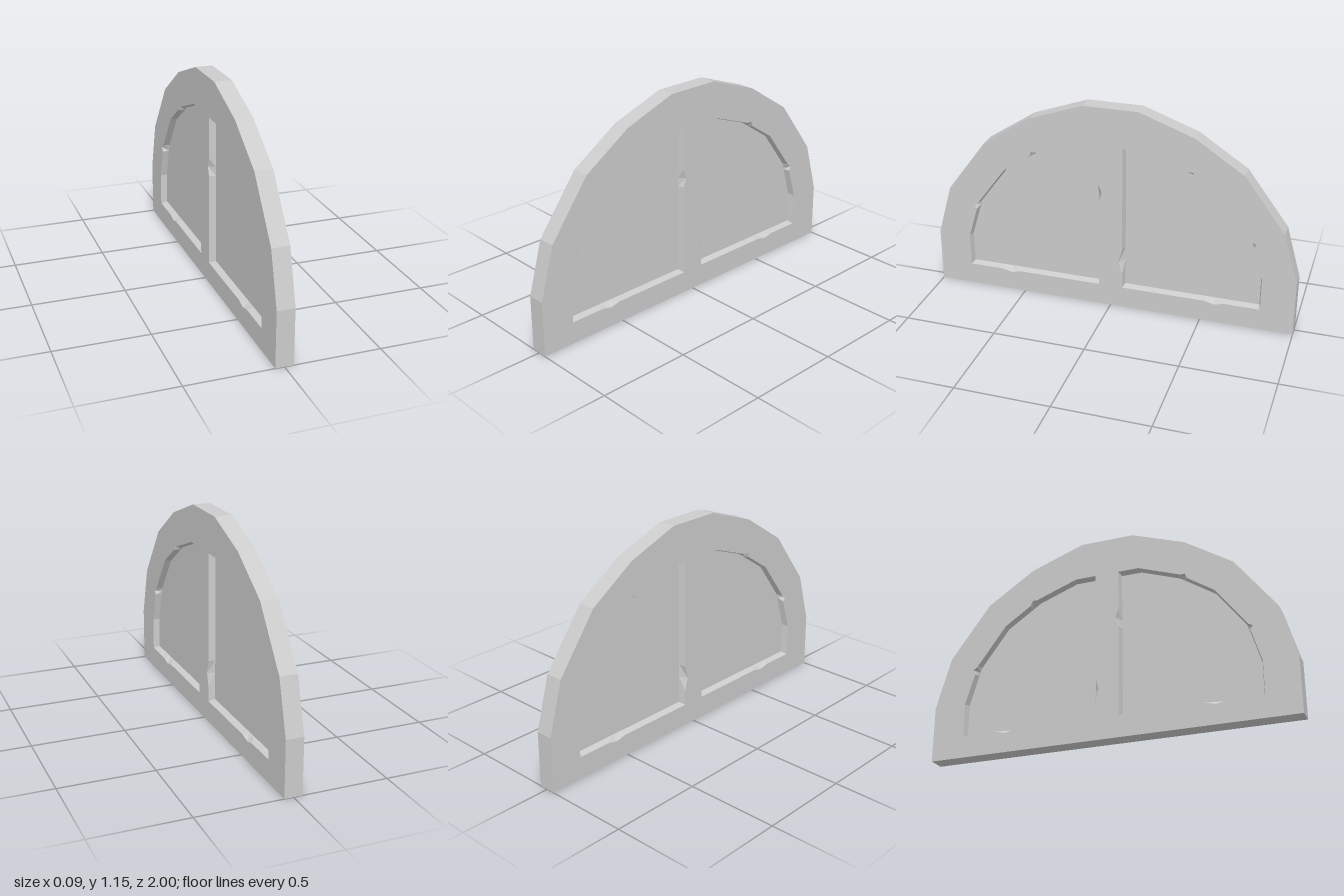
import * as THREE from 'three';
import { mergeGeometries } from 'three/addons/utils/BufferGeometryUtils.js';

const HALF = 0.047;   // half thickness of the frame
const PANE = 0.012;   // half thickness of the panes
const material = new THREE.MeshStandardMaterial({ color: 0xcccccc, flatShading: true });

// Outlines are drawn as (u, v) = (-z, y), anticlockwise as seen from +x.
const vec = ([u, v]) => new THREE.Vector2(u, v);
const flip = (pts) => pts.map((p) => new THREE.Vector2(-p.x, p.y)).reverse();

const rightArch = [[1, 0], [1, 0.3], [0.92, 0.58], [0.7, 0.875], [0.44, 1.045], [0.147, 1.15]].map(vec);
const arch = [...rightArch, ...flip(rightArch)];
const opening = [[0.065, 0.12], [0.82, 0.12], [0.82, 0.3], [0.755, 0.515],
  [0.595, 0.73], [0.4, 0.86], [0.18, 0.94], [0.065, 0.94]].map(vec);

// Worn chips on the opening's edge: [edge, start, end, depth]
const sharedChips = [[0, 0.6, 0.75, 0.013], [2, 0.8, 0.98, 0.02], [4, 0.75, 0.97, 0.018]];

// Adds chip points to an outline; with amount 0 the points stay on the straight edge
function chipped(pts, chips, amount) {
  const out = [];
  pts.forEach((p, i) => {
    out.push(p);
    const q = pts[(i + 1) % pts.length];
    const normal = new THREE.Vector2(q.y - p.y, p.x - q.x).normalize();
    for (const [edge, a, b, depth] of chips) {
      if (edge !== i) continue;
      out.push(p.clone().lerp(q, a));
      out.push(p.clone().lerp(q, (a + b) / 2).addScaledVector(normal, depth * amount));
      out.push(p.clone().lerp(q, b));
    }
  });
  return out;
}

// Band of quads from one closed outline to another
function band(from, x0, to, x1) {
  const n = from.length, pos = [], index = [];
  for (const p of from) pos.push(x0, p.y, -p.x);
  for (const p of to) pos.push(x1, p.y, -p.x);
  for (let i = 0; i < n; i++) {
    const j = (i + 1) % n;
    index.push(i, j, n + i, j, n + j, n + i);
  }
  const g = new THREE.BufferGeometry();
  g.setAttribute('position', new THREE.Float32BufferAttribute(pos, 3));
  g.setIndex(index);
  g.computeVertexNormals();
  return g;
}

// Flat face turned towards +x
function face(outline, x, holes = []) {
  const shape = new THREE.Shape(outline);
  for (const h of holes) shape.holes.push(new THREE.Path(h));
  const g = new THREE.ShapeGeometry(shape).rotateY(Math.PI / 2).translate(x, 0, 0);
  g.deleteAttribute('uv');
  return g;
}

// Joins a +x half with its mirror image
function bothSides(geo) {
  const back = geo.clone().scale(-1, 1, 1);
  back.index.array.reverse();
  back.computeVertexNormals();
  return mergeGeometries([geo, back]);
}

function add(group, name, geometry) {
  const mesh = new THREE.Mesh(geometry.toNonIndexed(), material);
  mesh.geometry.computeVertexNormals();
  mesh.name = name;
  group.add(mesh);
}

export function createModel() {
  const group = new THREE.Group();
  group.name = 'archedWindow';

  // The two openings, with a chip at a different height on each side of the mullion
  const openings = [['right', false, [7, 0.72, 0.9, 0.02]], ['left', true, [7, 0.27, 0.39, 0.018]]]
    .map(([side, mirror, mullionChip]) => {
      const chips = [...sharedChips, mullionChip];
      const outer = chipped(opening, chips, 1);
      // Slightly smaller outline where the jamb meets the pane
      const inner = chipped(opening, chips, 0).map((p) =>
        new THREE.Vector2(0.4425 + (p.x - 0.4425) * 0.975, 0.53 + (p.y - 0.53) * 0.975));
      return { side, outer: mirror ? flip(outer) : outer, inner: mirror ? flip(inner) : inner };
    });

  // Frame faces and outer rim
  add(group, 'frameFaces', bothSides(face(arch, HALF, openings.map((o) => o.outer))));
  add(group, 'frameRim', band(arch, -HALF, arch, HALF));

  // Sloping jambs and recessed panes
  for (const { side, outer, inner } of openings) {
    add(group, side + 'Jambs', bothSides(band(outer, HALF, inner, PANE)));
    add(group, side + 'Pane', bothSides(face(inner, PANE)));
  }
  return group;
}
